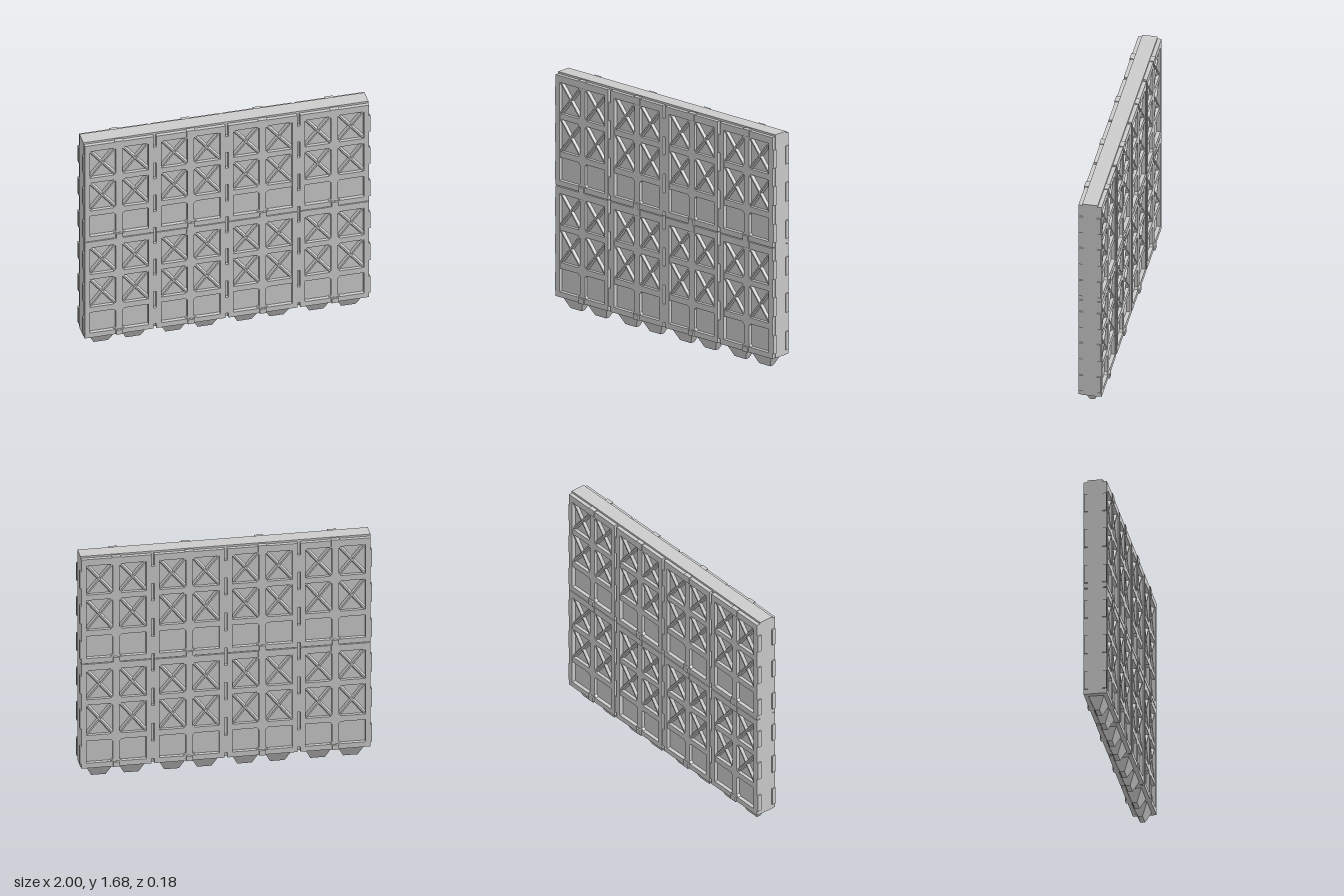
import * as THREE from 'three';

const mat = new THREE.MeshStandardMaterial({ color: 0xcccccc, flatShading: true });
const BASE = 0.085, CORE = 0.053, FACE = 0.08;
const W = 0.24, H = 0.785;                 // panel half width and height
const X0 = 0.023, X1 = 0.205;              // window inner and outer x
const ROWS = [[0.038, 0.203], [0.246, 0.474], [0.515, 0.736]];

function add(parent, name, geo, x = 0, y = 0, z = 0) {
  const m = new THREE.Mesh(geo, mat);
  m.name = name;
  m.position.set(x, y, z);
  parent.add(m);
  return m;
}

function box(x0, x1, y0, y1, z0, z1) {
  return new THREE.BoxGeometry(x1 - x0, y1 - y0, z1 - z0)
    .translate((x0 + x1) / 2, (y0 + y1) / 2, (z0 + z1) / 2);
}

// Box whose far end on one axis is narrowed on the other two
function taper(geo, axis, sign, scale) {
  const p = geo.attributes.position;
  for (let i = 0; i < p.count; i++) {
    if (p.getComponent(i, axis) * sign <= 0) continue;
    for (let k = 0; k < 3; k++) if (k !== axis) p.setComponent(i, k, p.getComponent(i, k) * scale[k]);
  }
  geo.computeVertexNormals();
  return geo;
}

const poly = (Type, pts) => new Type(pts.map(([x, y]) => new THREE.Vector2(x, y)));
const rect = (x0, x1, y0, y1) => [[x0, y0], [x1, y0], [x1, y1], [x0, y1]];

// Window outline with the two corners beside the centre post cut off
function windowPoints(s, y0, y1) {
  const c = 0.015;
  return [[s * X1, y0], [s * X1, y1], [s * (X0 + c), y1], [s * X0, y1 - c], [s * X0, y0 + c], [s * (X0 + c), y0]];
}

function extrude(shape, z0, z1) {
  return new THREE.ExtrudeGeometry(shape, { depth: z1 - z0, bevelEnabled: false }).translate(0, 0, z0);
}

function makePanel() {
  const g = new THREE.Group();
  g.name = 'panel';

  // Raised border around the opening
  const border = poly(THREE.Shape, rect(-W, W, 0, H));
  border.holes.push(poly(THREE.Path, rect(-X1, X1, ROWS[0][0], ROWS[2][1])));
  add(g, 'panelBorder', extrude(border, CORE - 0.003, FACE));

  // Centre post and cross rails
  const grid = poly(THREE.Shape, rect(-X1 - 0.01, X1 + 0.01, ROWS[0][0] - 0.01, ROWS[2][1] + 0.01));
  for (const [y0, y1] of ROWS) {
    for (const s of [-1, 1]) grid.holes.push(poly(THREE.Path, windowPoints(s, y0, y1)));
  }
  add(g, 'panelGrid', extrude(grid, CORE - 0.003, FACE - 0.004));

  // Crossed braces in the upper two window rows
  for (const [y0, y1] of ROWS.slice(1)) {
    const w = X1 - X0, h = y1 - y0;
    for (const s of [-1, 1]) for (const d of [-1, 1]) {
      const geo = taper(new THREE.BoxGeometry(Math.hypot(w, h) - 0.012, 0.03, 0.022), 2, 1, [1, 0.35, 1]);
      const brace = add(g, 'crossBrace', geo, s * (X0 + X1) / 2, (y0 + y1) / 2, CORE + 0.008);
      brace.rotation.z = d * Math.atan2(h, w);
    }
  }

  // Side lugs
  for (const s of [-1, 1]) {
    for (const [y0, y1] of [[0.035, 0.165], [0.3, 0.435], [0.565, 0.695]]) {
      add(g, 'sideLug', box(0, 0.018, y0, y1, CORE - 0.005, FACE - 0.003), s > 0 ? W - 0.008 : -W - 0.01);
    }
  }

  // Latch tabs at the bottom and top edges
  const latch = taper(new THREE.BoxGeometry(0.06, 0.036, 0.04), 2, 1, [0.75, 1, 1]);
  add(g, 'bottomLatch', latch, 0, 0.018, 0.071);
  add(g, 'topLatch', box(-0.03, 0.03, H - 0.045, H + 0.006, CORE - 0.005, FACE + 0.004));
  return g;
}

export function createModel() {
  const model = new THREE.Group();
  model.name = 'wallSection';

  add(model, 'core', box(-0.993, 0.993, BASE, 1.675, -CORE, CORE));

  // Panels on both faces, four across and two high
  const panel = makePanel();
  for (const [side, turn] of [['front', 0], ['back', Math.PI]]) {
    const face = new THREE.Group();
    face.name = side + 'Panels';
    face.rotation.y = turn;
    for (let i = 0; i < 4; i++) for (const y of [BASE, 0.876]) {
      const p = panel.clone();
      p.position.set(-0.75 + i * 0.5, y, 0);
      face.add(p);
    }
    model.add(face);
  }

  // Ground spikes under each panel
  const spike = taper(new THREE.BoxGeometry(0.186, BASE, CORE * 2), 1, -1, [0.54, 1, 0.3]);
  for (let i = 0; i < 4; i++) for (const s of [-1, 1]) {
    add(model, 'groundSpike', spike, -0.75 + i * 0.5 + s * 0.112, BASE / 2, 0);
  }
  return model;
}
